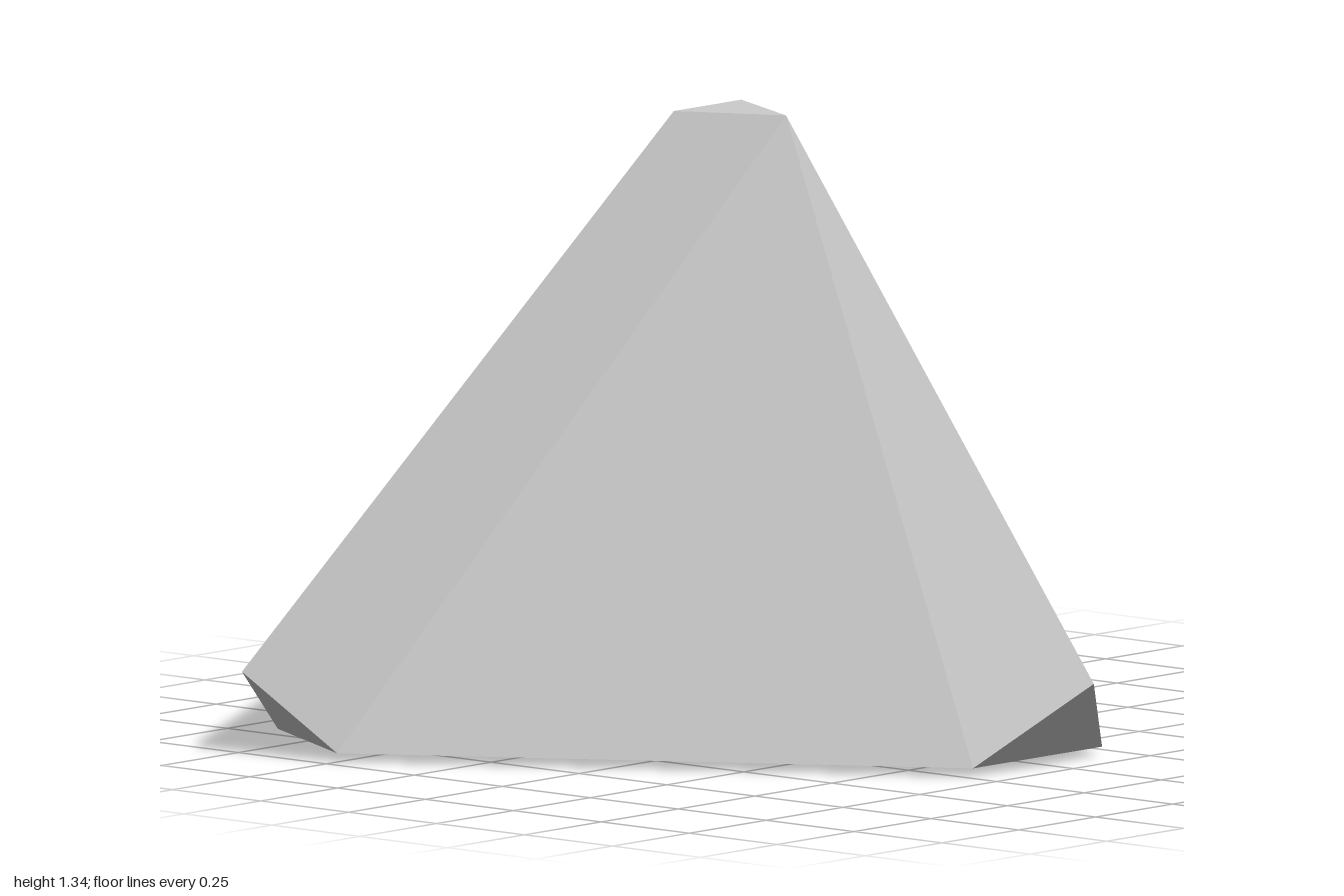
import * as THREE from 'three';
import { ConvexGeometry } from 'three/addons/geometries/ConvexGeometry.js';

const material = new THREE.MeshStandardMaterial({ color: 0xcccccc, flatShading: true });

// Tetrahedron with cut corners, symmetric about its own middle plane
function makeBody() {
  const middle = -0.025;
  const points = [
    new THREE.Vector3(middle, 1.34, -0.045), // top cut, front point
    new THREE.Vector3(middle, 0.195, 0.83), // front cut, upper point
  ];
  const pairs = [
    [0.11, 1.34, -0.268], // top cut
    [0.21, 0.02, 0.67], // front cut
    [0.975, 0.177, -0.74], // back corner cuts
    [0.94, 0.02, -0.5],
    [0.755, 0.02, -0.83],
  ];
  for (const [x, y, z] of pairs) {
    for (const side of [-1, 1]) points.push(new THREE.Vector3(middle + side * x, y, z));
  }
  const body = new THREE.Mesh(new ConvexGeometry(points), material);
  body.name = 'pyramidBody';
  return body;
}

// Small eight-sided ring lying by the back left corner
function makeRing() {
  const profile = [
    [0.062, -0.032], [0.086, -0.006], [0.055, 0.034],
    [0.024, 0.024], [0.024, -0.02], [0.062, -0.032],
  ].map(([r, y]) => new THREE.Vector2(r, y));
  const ring = new THREE.Mesh(new THREE.LatheGeometry(profile, 8, Math.PI / 8), material);
  ring.position.set(0.92, 0.037, -0.704);
  ring.rotation.x = 0.07;
  ring.name = 'cornerRing';
  return ring;
}

export function createModel() {
  const model = new THREE.Group();
  model.name = 'cutCornerPyramid';
  model.add(makeBody(), makeRing());
  return model;
}
